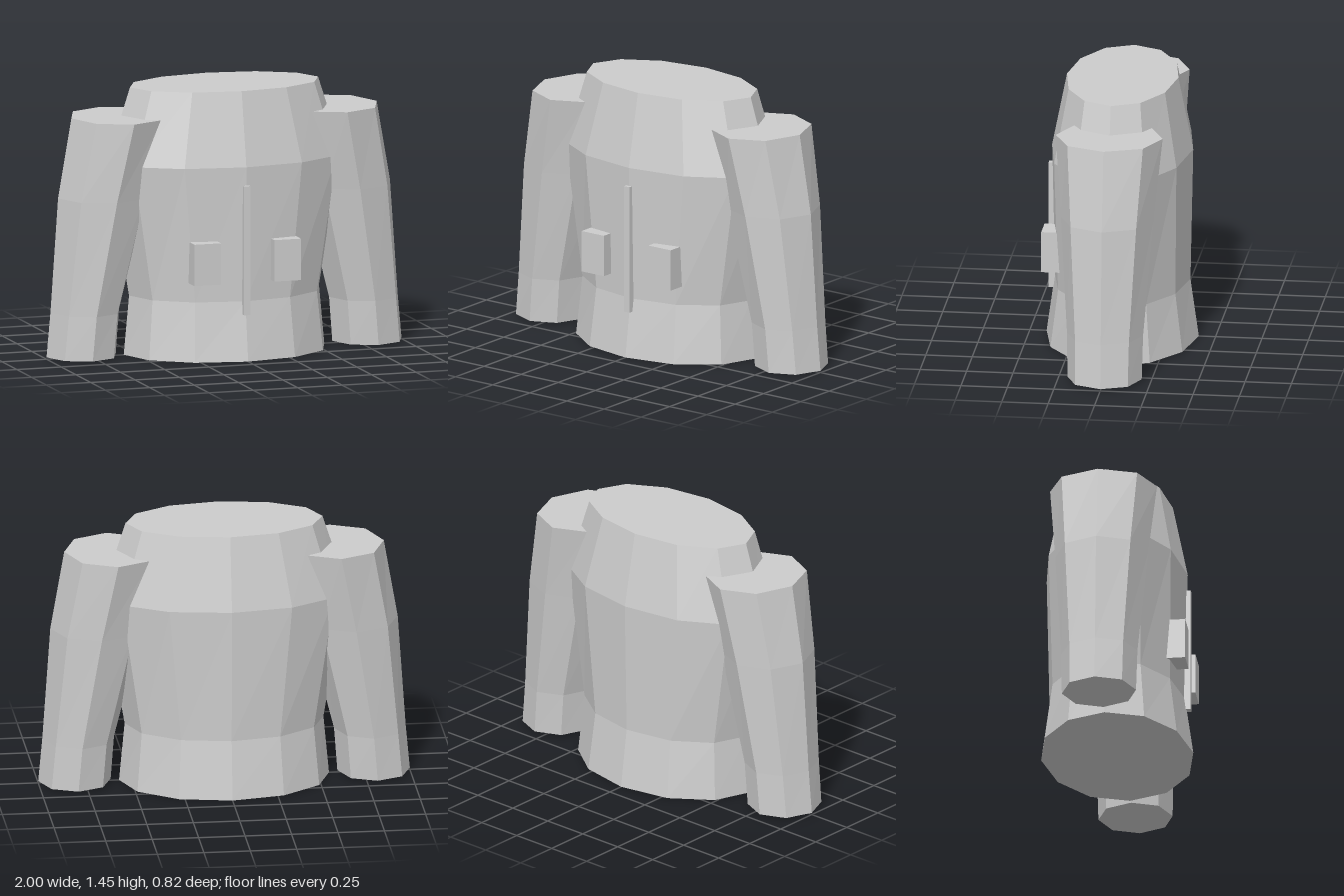
import * as THREE from 'three';

// Faceted stack of elliptical rings, each { y, x, rx, rz }, listed bottom to top
function loft(sides, rings) {
  const n = rings.length - 1;
  const geo = new THREE.CylinderGeometry(1, 1, 1, sides, n);
  const pos = geo.attributes.position;
  for (let i = 0; i < pos.count; i++) {
    const r = rings[Math.round((pos.getY(i) + 0.5) * n)];
    pos.setXYZ(i, r.x + pos.getX(i) * r.rx, r.y, pos.getZ(i) * r.rz);
  }
  const flat = geo.toNonIndexed();
  flat.computeVertexNormals();
  return flat;
}

export function createModel() {
  const group = new THREE.Group();
  const cloth = new THREE.MeshStandardMaterial({ color: 0xcccccc });
  cloth.name = 'light grey cloth';

  const add = (name, geo, x = 0, y = 0, z = 0) => {
    const mesh = new THREE.Mesh(geo, cloth);
    mesh.name = name;
    mesh.position.set(x, y, z);
    group.add(mesh);
  };

  // Jacket body: flared hem, waist, chest and closed neck
  add('body', loft(12, [
    { y: 0, x: 0, rx: 0.565, rz: 0.41 },
    { y: 0.32, x: 0, rx: 0.535, rz: 0.365 },
    { y: 1.05, x: 0, rx: 0.66, rz: 0.38 },
    { y: 1.45, x: 0, rx: 0.53, rz: 0.3 },
  ]));

  // Front fastening strip
  add('zipper', new THREE.BoxGeometry(0.036, 0.7, 0.04), 0, 0.6, 0.378);

  for (const [side, s] of [['left', 1], ['right', -1]]) {
    // Tapering sleeve that leans outward
    add(side + 'Sleeve', loft(8, [
      { y: 0.01, x: s * 0.805, rx: 0.195, rz: 0.2 },
      { y: 0.25, x: s * 0.785, rx: 0.193, rz: 0.205 },
      { y: 0.87, x: s * 0.685, rx: 0.25, rz: 0.25 },
      { y: 1.3, x: s * 0.6, rx: 0.26, rz: 0.288 },
    ]));
    // Square pocket sunk into the body
    add(side + 'Pocket', new THREE.BoxGeometry(0.15, 0.225, 0.12), s * 0.225, 0.5375, 0.343);
  }
  return group;
}
